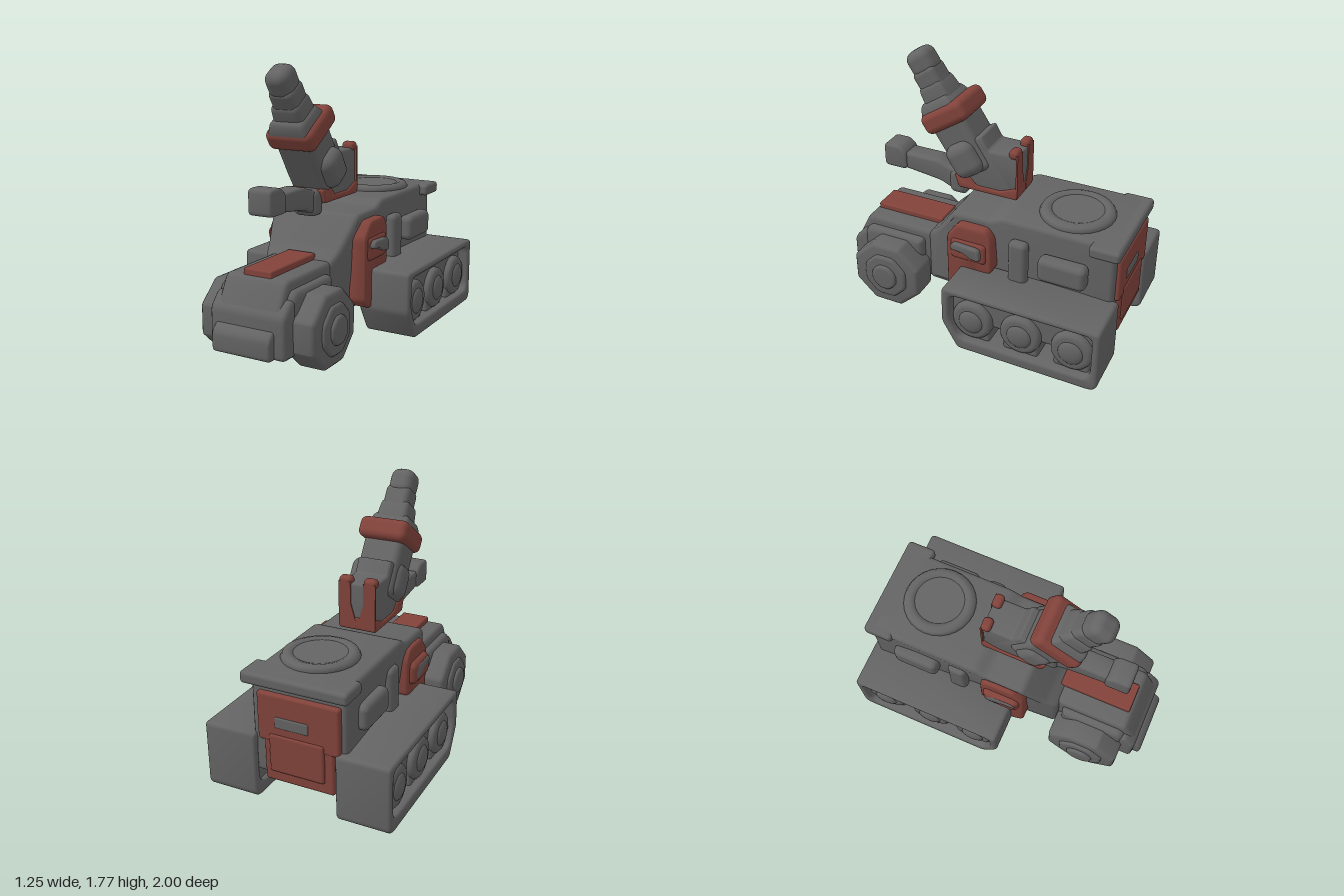
import * as THREE from 'three';
import { toCreasedNormals } from 'three/addons/utils/BufferGeometryUtils.js';
import { RoundedBoxGeometry } from 'three/addons/geometries/RoundedBoxGeometry.js';

const grey = new THREE.MeshStandardMaterial({ name: 'gunmetal grey', color: 0x646464 });
const red = new THREE.MeshStandardMaterial({ name: 'dull red', color: 0x82433b });

function mesh(parent, name, geometry, material) {
  const m = new THREE.Mesh(geometry, material);
  m.name = name;
  parent.add(m);
  return m;
}

// Trace a polygon with softened corners
function roundPath(path, pts, r) {
  const v = pts.map(p => new THREE.Vector2(p[0], p[1]));
  v.forEach((p, i) => {
    const a = v[(i + v.length - 1) % v.length], b = v[(i + 1) % v.length];
    const toward = q => {
      const len = p.distanceTo(q);
      return p.clone().lerp(q, Math.min(r, len * 0.45) / len);
    };
    const s = toward(a), e = toward(b);
    if (i === 0) path.moveTo(s.x, s.y); else path.lineTo(s.x, s.y);
    path.quadraticCurveTo(p.x, p.y, e.x, e.y);
  });
  path.closePath();
  return path;
}

// Side profile in (z, y), extruded from x0 to x1 with rounded edges
function profile(pts, x0, x1, { round = 0.03, bevel = 0.02, hole = null } = {}) {
  const shape = roundPath(new THREE.Shape(), pts, round);
  if (hole) shape.holes.push(roundPath(new THREE.Path(), hole, 0.05));
  const depth = x1 - x0 - 2 * bevel;
  const g = new THREE.ExtrudeGeometry(shape, {
    depth, curveSegments: 4, bevelEnabled: true, bevelThickness: bevel,
    bevelSize: bevel, bevelOffset: -bevel, bevelSegments: 3,
  });
  g.translate(0, 0, -depth / 2).rotateY(-Math.PI / 2).translate((x0 + x1) / 2, 0, 0);
  return g;
}
const smooth = g => toCreasedNormals(g, 0.8);

// Rounded block given by its limits
function block(x0, x1, y0, y1, z0, z1, r = 0.025) {
  const w = x1 - x0, h = y1 - y0, d = z1 - z0;
  return new RoundedBoxGeometry(w, h, d, 3, Math.min(r, w * 0.45, h * 0.45, d * 0.45))
    .translate((x0 + x1) / 2, (y0 + y1) / 2, (z0 + z1) / 2);
}

// Scale a geometry's cross-section along y, from 1 at y0 to k at y1
function taper(g, y0, y1, k) {
  const p = g.attributes.position;
  for (let i = 0; i < p.count; i++) {
    const f = THREE.MathUtils.mapLinear(p.getY(i), y0, y1, 1, k);
    p.setX(i, p.getX(i) * f);
    p.setZ(i, p.getZ(i) * f);
  }
  return smooth(g);
}

// Call with the x limits flipped for each side
function bothSides(fn) {
  for (const s of [1, -1]) fn((a, b) => (s > 0 ? [a, b] : [-b, -a]), s > 0 ? 'left' : 'right', s);
}

function octagon(z, y, r, rz = r) {
  return Array.from({ length: 8 }, (_, i) => {
    const a = (i + 0.5) * Math.PI / 4;
    return [z + rz * Math.cos(a), y + r * Math.sin(a)];
  });
}

function buildHull(root) {
  const hull = new THREE.Group();
  hull.name = 'hull';
  root.add(hull);

  // Cabin and rear body, narrowing toward the hood
  const cab = profile([[0.37, 0.18], [0.37, 0.54], [0.29, 0.61], [0.14, 0.815], [-0.12, 0.82],
    [-0.2, 0.86], [-0.96, 0.86], [-0.96, 0.19]], -0.335, 0.3, { bevel: 0.03 });
  const p = cab.attributes.position;
  for (let i = 0; i < p.count; i++) {
    const z = p.getZ(i);
    if (z > 0.14) p.setX(i, p.getX(i) * (1 - (z - 0.14) * 1.1));
  }
  mesh(hull, 'cabinBody', smooth(cab), grey);

  // Hood and stepped bumper
  mesh(hull, 'hood', smooth(profile([[0.32, 0.18], [0.32, 0.55], [0.84, 0.55], [0.87, 0.5],
    [0.94, 0.36], [0.94, 0.1], [0.8, 0.1], [0.7, 0.17]], -0.22, 0.22, { bevel: 0.03 })), grey);
  mesh(hull, 'hoodShoulder', smooth(profile([[0.4, 0.22], [0.4, 0.49], [0.82, 0.49], [0.86, 0.44],
    [0.86, 0.22]], -0.27, 0.27, { bevel: 0.04 })), grey);
  mesh(hull, 'bumper', smooth(profile([[0.82, 0.1], [0.82, 0.44], [0.87, 0.45], [0.95, 0.36],
    [0.95, 0.1]], -0.265, 0.265, { bevel: 0.03 })), grey);
  mesh(hull, 'bumperLip', smooth(profile([[0.87, 0.1], [0.87, 0.28], [0.95, 0.28], [1, 0.23],
    [1, 0.1]], -0.22, 0.19)), grey);
  mesh(hull, 'hoodPanel', block(-0.1, 0.1, 0.53, 0.588, 0.33, 0.83, 0.012), red);

  // Roof, rear lip and low round hatch
  mesh(hull, 'roofLip', block(-0.355, 0.355, 0.78, 0.86, -1, -0.8), grey);
  const ring = new THREE.TorusGeometry(0.2, 0.045, 8, 28).rotateX(Math.PI / 2);
  ring.scale(1, 0.8, 1).translate(0.02, 0.863, -0.61);
  mesh(hull, 'hatchRing', ring, grey);
  mesh(hull, 'hatchLid', new THREE.CylinderGeometry(0.17, 0.2, 0.04, 28).translate(0.02, 0.868, -0.61), grey);

  // Doors, handles and side panels; the left handle stands out further
  bothSides((x, side, s) => {
    const [bulge, handle] = s > 0 ? [0.375, 0.405] : [0.4, 0.403];
    mesh(hull, side + 'Door', smooth(profile([[0.08, 0.19], [-0.06, 0.24], [-0.07, 0.42], [-0.16, 0.45],
      [-0.16, 0.7], [-0.12, 0.77], [0.08, 0.77], [0.16, 0.67], [0.16, 0.25]], ...x(0.24, 0.36))), red);
    mesh(hull, side + 'DoorBulge', block(...x(0.3, bulge), 0.51, 0.67, -0.13, 0.13, 0.045), red);
    mesh(hull, side + 'DoorHandle', smooth(profile([[0.12, 0.6], [0.1, 0.65], [-0.09, 0.64], [-0.1, 0.55],
      [-0.02, 0.56], [0.02, 0.59]], ...x(0.35, handle), { bevel: 0.012 })), grey);
    mesh(hull, side + 'SidePanel', block(...x(0.28, 0.385), 0.52, 0.69, -0.8, -0.48, 0.04), grey);
    mesh(hull, side + 'SideRib', block(...x(0.28, 0.36), 0.42, 0.74, -0.4, -0.27, 0.04), grey);
  });

  // Rear door: wide frame above, narrower below, with window and raised panel
  mesh(hull, 'rearDoorTop', block(-0.3, 0.25, 0.43, 0.75, -0.99, -0.94, 0.02), red);
  mesh(hull, 'rearDoorBottom', block(-0.26, 0.21, 0.16, 0.5, -0.985, -0.93, 0.02), red);
  mesh(hull, 'rearDoorPanel', block(-0.2, 0.17, 0.23, 0.49, -1, -0.95, 0.02), red);
  mesh(hull, 'rearWindow', block(-0.1, 0.13, 0.53, 0.61, -0.996, -0.96, 0.015), grey);
}

function buildRunningGear(root) {
  bothSides((x, side, s) => {
    // Front wheel with tapered hub
    const wheel = new THREE.Group();
    wheel.name = side + 'FrontWheel';
    root.add(wheel);
    mesh(wheel, 'tyre', smooth(profile(octagon(0.615, 0.229, 0.25, 0.268), ...x(0.2, 0.405),
      { bevel: 0.03, round: 0.015 })), grey);
    mesh(wheel, 'hubRing', smooth(profile(octagon(0.615, 0.229, 0.17), ...x(0.3, 0.425))), grey);
    mesh(wheel, 'hubCap', smooth(profile(octagon(0.615, 0.229, 0.1), ...x(0.35, 0.447))), grey);
    mesh(wheel, 'axle', block(...x(0, 0.3), 0.15, 0.3, 0.54, 0.69), grey);

    // Track belt, open at the side
    const track = new THREE.Group();
    track.name = side + 'Track';
    root.add(track);
    mesh(track, 'belt', smooth(profile([[0.065, 0.455], [-1, 0.455], [-1, 0.03], [-0.96, 0], [-0.04, 0],
      [0.07, 0.19]], ...x(0.27, 0.625), {
      hole: [[0.01, 0.41], [0.02, 0.22], [-0.05, 0.085], [-0.92, 0.085], [-0.95, 0.13], [-0.95, 0.41]],
    })), grey);
    mesh(track, 'innerPanel', block(...x(0.28, 0.55), 0.19, 0.43, -0.97, 0.03), grey);

    // Road wheels, standing on solid feet with small gaps between
    [-0.13, -0.465, -0.81].forEach((z, i) => {
      mesh(track, 'roadWheel' + (i + 1), smooth(profile(octagon(z, 0.225, 0.148), ...x(0.3, 0.595),
        { bevel: 0.03, round: 0.05 })), grey);
      const hub = new THREE.SphereGeometry(0.085, 16, 10).scale(0.35, 1, 1);
      mesh(track, 'roadWheelHub' + (i + 1), hub.translate(s * 0.59, 0.225, z), grey);
      mesh(track, 'wheelFoot' + (i + 1), block(...x(0.3, 0.57), 0.075, 0.22, z - 0.12, z + 0.12, 0.02), grey);
    });
  });
}

function buildGun(root) {
  const gun = new THREE.Group();
  gun.name = 'gunTurret';
  gun.position.x = -0.03;
  root.add(gun);

  // Base and housing
  mesh(gun, 'basePlate', smooth(profile([[-0.22, 0.88], [-0.22, 0.97], [-0.1, 0.92], [0.07, 0.92],
    [0.12, 0.97], [0.23, 0.97], [0.2, 0.88]], -0.13, 0.13, { bevel: 0.012, round: 0.015 })), red);
  mesh(gun, 'housing', smooth(profile([[-0.215, 0.89], [-0.215, 1.19], [-0.01, 1.19], [0.04, 1.28],
    [0.2, 1.2], [0.22, 1.02], [0.17, 0.9]], -0.118, 0.118, { round: 0.015 })), grey);

  // Rear posts, wider at the foot, forming a V notch
  for (const s of [1, -1]) {
    const side = s > 0 ? 'left' : 'right';
    const outline = [[0.128, 0.9], [0.128, 1.2], [0.045, 1.2], [0.045, 1.06], [0.01, 0.94], [0.01, 0.9]];
    const plate = new THREE.Shape(outline.map(([px, py]) => new THREE.Vector2(s * px, py)));
    mesh(gun, side + 'RearPost', new THREE.ExtrudeGeometry(plate, { depth: 0.012, bevelEnabled: false })
      .translate(0, 0, -0.222), red);
    mesh(gun, side + 'PostTip', block(-0.045, 0.045, 1.17, 1.23, -0.222, -0.155, 0.025), red).position.x = s * 0.085;
  }

  // Raised barrel, built along its own axis
  const arm = new THREE.Group();
  arm.name = 'raisedBarrel';
  arm.position.set(0, 1.05, 0.1);
  arm.rotation.x = 0.58;
  gun.add(arm);
  mesh(arm, 'breech', block(-0.14, 0.14, -0.06, 0.36, -0.13, 0.13, 0.05), grey);
  mesh(arm, 'breechSides', block(-0.17, 0.205, -0.05, 0.19, -0.1, 0.11, 0.07), grey);
  mesh(arm, 'collar', block(-0.17, 0.17, 0.3, 0.44, -0.19, 0.155, 0.045), red);
  const flare = taper(block(-0.145, 0.145, 0.39, 0.5, -0.13, 0.135, 0.03), 0.42, 0.5, 0.8);
  mesh(arm, 'barrelFlare', flare, grey).position.z = 0.012;
  mesh(arm, 'barrelSleeve', taper(block(-0.115, 0.115, 0.42, 0.6, -0.105, 0.105, 0.04), 0.42, 0.6, 0.85), grey);
  mesh(arm, 'barrel', block(-0.085, 0.09, 0.5, 0.7, -0.09, 0.085, 0.04), grey);
  mesh(arm, 'muzzle', block(-0.083, 0.083, 0.64, 0.82, -0.095, 0.085, 0.06), grey);

  // Lower barrel with square muzzle
  const low = new THREE.Group();
  low.name = 'lowerBarrel';
  low.position.x = 0.015;
  gun.add(low);
  mesh(low, 'lowerTube', smooth(profile([[0.17, 0.8], [0.14, 0.95], [0.3, 0.98], [0.38, 1.01], [0.68, 1.01],
    [0.68, 0.9], [0.36, 0.86], [0.22, 0.8]], -0.07, 0.07)), grey);
  mesh(low, 'lowerRoot', block(-0.085, 0.085, 0.8, 0.97, 0.17, 0.29, 0.04), grey);
  mesh(low, 'lowerMuzzle', smooth(profile([[0.78, 0.89], [0.78, 1.055], [0.66, 1.055], [0.61, 1.01],
    [0.61, 0.89]], -0.085, 0.085)), grey);
}

export function createModel() {
  const root = new THREE.Group();
  root.name = 'halfTrackGunVehicle';
  buildHull(root);
  buildRunningGear(root);
  buildGun(root);
  return root;
}
